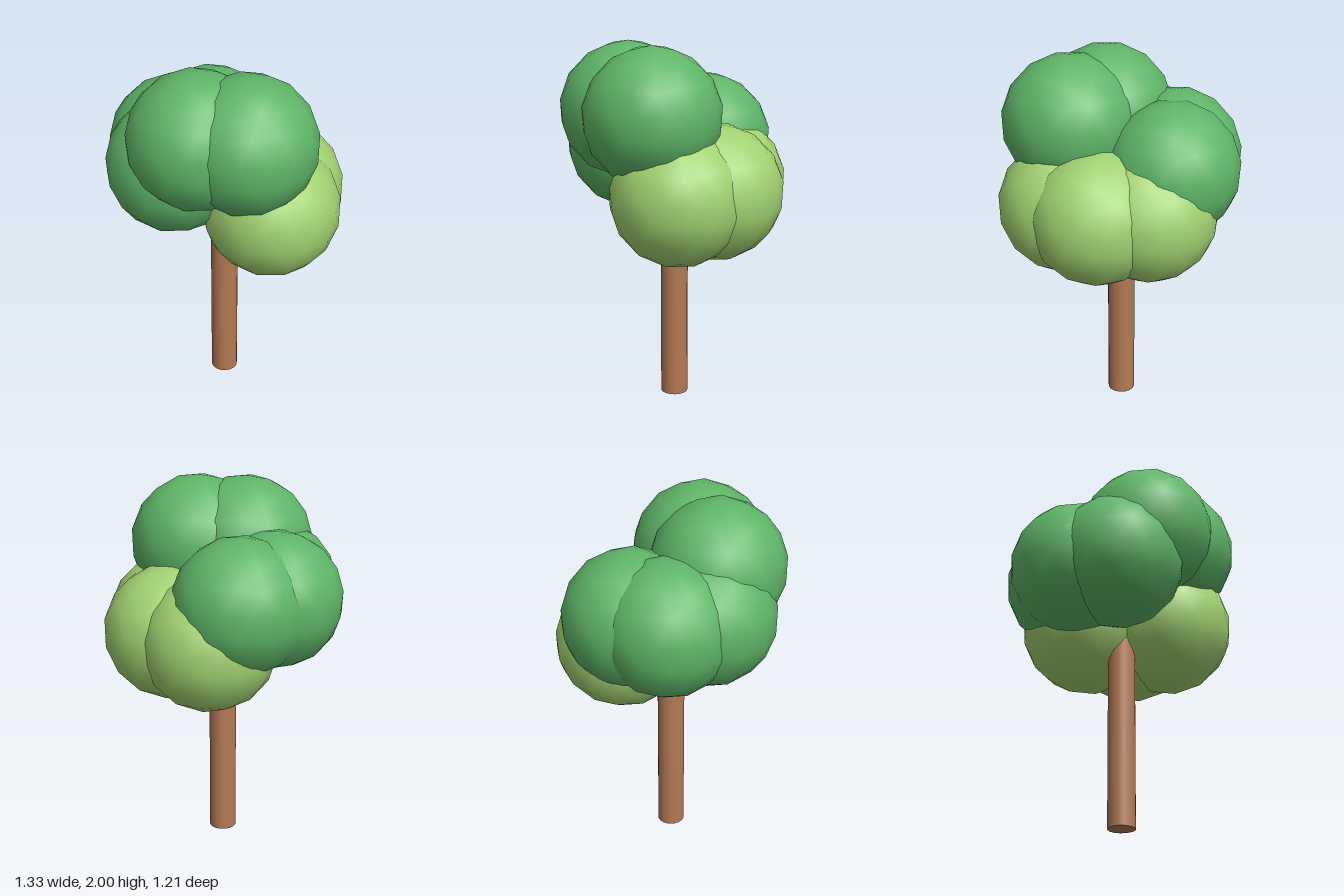
import * as THREE from 'three';
import { mergeVertices } from 'three/addons/utils/BufferGeometryUtils.js';

const material = (name, color) => {
  const m = new THREE.MeshStandardMaterial({ color });
  m.name = name;
  return m;
};

// Low-poly ball with smooth normals and a vertex pointing straight up
function leafBall(radius) {
  let g = new THREE.IcosahedronGeometry(radius, 2);
  g.deleteAttribute('uv');
  g.deleteAttribute('normal');
  g = mergeVertices(g, 1e-4);
  g.rotateZ(-Math.atan(2 / (1 + Math.sqrt(5))));
  g.computeVertexNormals();
  return g;
}

export function createModel() {
  const tree = new THREE.Group();
  tree.name = 'tree';
  const bark = material('bark brown', 0xb57a55);
  const green = material('leaf green', 0x5fb568);
  const lime = material('light leaf green', 0xa2d272);

  // Straight round trunk, its top buried in the leaves
  const trunk = new THREE.Mesh(new THREE.CylinderGeometry(0.075, 0.075, 1.15, 16), bark);
  trunk.position.y = 0.575;
  trunk.name = 'trunk';
  tree.add(trunk);

  // Three tiers of overlapping leaf balls: [x, z] centres at each height
  const ball = leafBall(0.368);
  const tiers = [
    { name: 'lowerLeaves', y: 1.22, mat: lime, at: [[0.305, -0.01], [0.19, -0.205], [-0.08, -0.245]] },
    { name: 'middleLeaves', y: 1.425, mat: green, at: [[-0.305, 0.025], [-0.225, -0.175], [-0.16, 0.215]] },
    { name: 'topLeaves', y: 1.634, mat: green, at: [[0.015, 0.245], [0.245, 0.125]] },
  ];
  for (const { name, y, mat, at } of tiers) {
    const tier = new THREE.Group();
    tier.name = name;
    at.forEach(([x, z], i) => {
      const leaf = new THREE.Mesh(ball, mat);
      leaf.position.set(x, y, z);
      leaf.name = 'leafBall' + (i + 1);
      tier.add(leaf);
    });
    tree.add(tier);
  }
  return tree;
}
